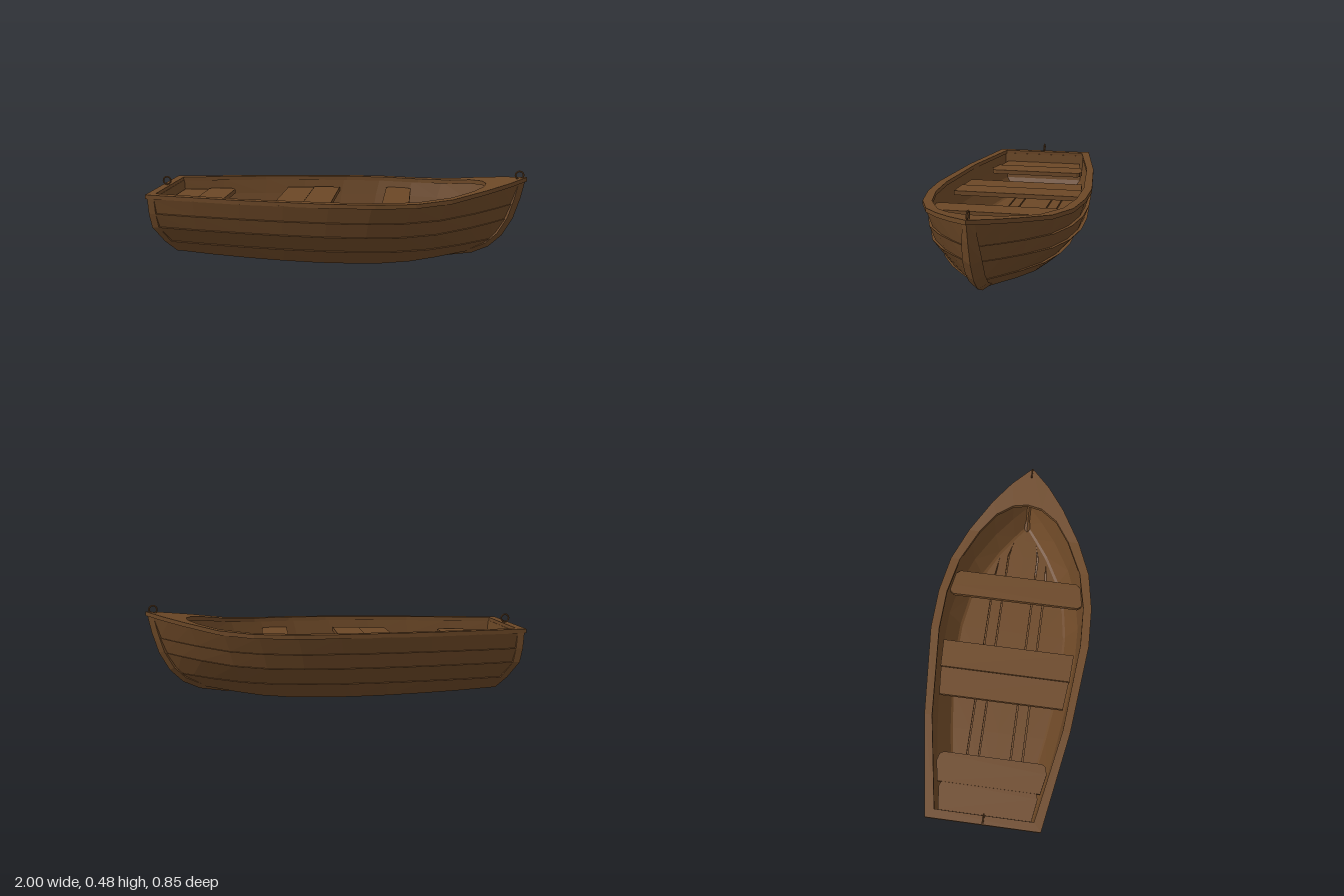
import * as THREE from 'three';

const wood = new THREE.MeshStandardMaterial({ color: 0x6b4726, flatShading: true, side: THREE.DoubleSide });

// Skin a list of cross-sections; closed sections are joined into tubes with end caps
function loft(sections, closed = false) {
  const pos = [];
  const tri = (a, b, c) => pos.push(...a, ...b, ...c);
  const n = sections[0].length;
  for (let i = 0; i < sections.length - 1; i++) {
    for (let j = 0; j < (closed ? n : n - 1); j++) {
      const k = (j + 1) % n;
      const [a, b] = [sections[i], sections[i + 1]];
      tri(a[j], b[j], b[k]);
      tri(a[j], b[k], a[k]);
    }
  }
  if (closed) {
    const last = sections[sections.length - 1];
    for (let j = 1; j < n - 1; j++) {
      tri(sections[0][0], sections[0][j], sections[0][j + 1]);
      tri(last[0], last[j + 1], last[j]);
    }
  }
  const g = new THREE.BufferGeometry();
  g.setAttribute('position', new THREE.Float32BufferAttribute(pos, 3));
  g.computeVertexNormals();
  return g;
}

// Stations from stern (0) to stem (1), with the plan taper aft and forward
const U = [0, 0.13, 0.26, 0.38, 0.5, 0.61, 0.71, 0.8, 0.89, 0.95, 1];
const AFT = [1, 0.62, 0.33, 0.12, 0];
const FORE = [1, 0.99, 0.91, 0.76, 0.51, 0.29, 0];

// Plank edges, sheer to chine: stern x, bow x, height, bow height, half width, stern ratio
const LINES = [
  [-0.985, 0.96, 0.347, 0.428, 0.42, 0.68],
  [-0.98, 0.925, 0.262, 0.305, 0.41, 0.69],
  [-0.97, 0.9, 0.187, 0.225, 0.4, 0.675],
  [-0.925, 0.835, 0.097, 0.115, 0.338, 0.62],
  [-0.88, 0.7, 0.012, 0.04, 0.25, 0.56],
];

function edge(k, i, inset = 0) {
  const [x0, x1, y0, y1, w, stern] = LINES[k];
  const u = U[i];
  const aft = i < 5 ? AFT[i] : 0;
  const plan = i < 5 ? 1 - (1 - stern) * aft : FORE[i - 4];
  const lift = Math.pow(Math.max(0, (u - 0.76) / 0.24), 1.1);
  return [
    x0 + (x1 - x0) * u,
    y0 + (y1 - y0) * lift + (k === 4 ? 0.015 * aft : 0),
    Math.max(0.03, w * plan) - inset * (1 - 0.5 * Math.pow(u, 8)),
  ];
}

// Edge of the inner lining at a station
function liningEdge(k, i) {
  const [x, y, w] = edge(k, i);
  return [x - 0.03 * U[i] + 0.01, y + (k === 4 ? 0.03 : 0), Math.max(0, w - 0.032)];
}

const rise = (x) => 0.08 * Math.max(0, (x - 0.53) / 0.47);

export function createModel() {
  const boat = new THREE.Group();
  boat.name = 'rowingBoat';

  const add = (name, geometry, x = 0, y = 0, z = 0) => {
    const m = new THREE.Mesh(geometry, wood);
    m.name = name;
    m.position.set(x, y, z);
    boat.add(m);
    return m;
  };
  const addPair = (name, geometry) => {
    add(name + 'Left', geometry);
    add(name + 'Right', geometry).scale.z = -1;
  };
  // Flat board from an outline in x and z, with its top at the given height
  const slab = (name, outline, top, thick) => {
    const shape = new THREE.Shape(outline.map(([x, z]) => new THREE.Vector2(x, z)));
    const g = new THREE.ExtrudeGeometry(shape, { depth: thick, bevelEnabled: false });
    g.rotateX(Math.PI / 2);
    add(name, g, 0, top, 0);
  };

  // Overlapping side planks, each with a ledge along its top
  for (let k = 0; k < 4; k++) {
    addPair('plank' + (k + 1), loft(U.map((_, i) => [
      edge(k, i, 0.018), edge(k, i), edge(k + 1, i, k < 3 ? 0.018 : 0),
    ])));
  }

  // Bottom planking
  addPair('bottom', loft(U.map((_, i) => {
    const [x, y, w] = edge(4, i);
    return [[x, y, w], [x, y, w * 0.88], [x, y + 0.015, w * 0.6], [x, y + 0.015, 0]];
  })));

  // Inner lining
  addPair('lining', loft(U.map((_, i) => {
    const pts = LINES.map((_, k) => liningEdge(k, i));
    const [x, y] = pts[4];
    return [...pts, [x, y, 0]];
  })));

  // Transom, standing slightly proud of the planks
  add('transom', loft(LINES.map((_, k) => {
    const [x, y, w] = edge(k, 0, -0.006);
    return [[x - 0.004, y, -w], [x - 0.004, y, w], [x + 0.032, y, w], [x + 0.032, y, -w]];
  }), true));

  // Gunwale with a solid pointed foredeck
  const outer = [[-1, 0.29], [-0.48, 0.38], [0, 0.427], [0.22, 0.42], [0.42, 0.385],
    [0.6, 0.31], [0.78, 0.2], [0.9, 0.105], [1, 0]];
  const inner = [[-0.955, 0.25], [-0.48, 0.34], [0, 0.382], [0.22, 0.375], [0.42, 0.335],
    [0.6, 0.25], [0.71, 0.17], [0.77, 0.08], [0.785, 0]];
  addPair('gunwale', loft(outer.map(([x, z], i) => {
    const [xi, zi] = inner[i];
    const [yo, yi] = [0.365 + rise(x), 0.365 + rise(xi)];
    return [[x, yo, z], [x, yo - 0.022, z], [xi, yi - 0.022, zi], [xi, yi, zi]];
  }), true));
  add('transomRail', new THREE.BoxGeometry(0.045, 0.022, 0.576), -0.9775, 0.354, 0);

  // Keel sweeping up into the stem, triangular in section and narrower at the head
  const ridge = [[-0.88, 0.004], [0.58, 0.004], [0.72, 0.022], [0.81, 0.06], [0.88, 0.125],
    [0.935, 0.22], [0.97, 0.33], [0.993, 0.435]];
  add('keelAndStem', loft(ridge.map(([x, y], i) => {
    const a = ridge[Math.max(0, i - 1)];
    const b = ridge[Math.min(ridge.length - 1, i + 1)];
    const len = Math.hypot(b[0] - a[0], b[1] - a[1]);
    const d = i < 2 ? 0.026 : 0.036;
    const bx = x - (b[1] - a[1]) / len * d;
    const by = Math.min(0.43, y + (b[0] - a[0]) / len * d);
    const w = 0.047 - 0.02 * Math.max(0, (y - 0.22) / 0.215);
    return [[x, y, 0], [bx, by, w], [bx - d, by, 0], [bx, by, -w]];
  }), true));

  // Floorboards, trimmed to the lining
  for (const [z0, z1] of [[0, 0.083], [0.09, 0.148], [0.155, 0.3]]) {
    addPair('floorboard', loft(U.map((_, i) => {
      const low = liningEdge(4, i);
      const [x, y, half] = liningEdge(3, i).map((v, n) => 0.86 * v + 0.14 * low[n]);
      const [a, b] = [Math.min(z0, half), Math.min(z1, half)];
      return [[x, y, a], [x, y, b], [x, y - 0.015, b], [x, y - 0.015, a]];
    }), true));
  }

  // Benches
  const mirrored = (half) => [...half, ...half.map(([x, z]) => [x, -z]).reverse()];
  slab('sternSeatAft', mirrored([[-0.945, 0.237], [-0.83, 0.255], [-0.803, 0.245]]), 0.295, 0.025);
  slab('sternSeatFore', mirrored([[-0.803, 0.265], [-0.7, 0.286], [-0.66, 0.276], [-0.648, 0.255]]), 0.298, 0.025);
  slab('middleBenchAft', mirrored([[-0.345, 0.33], [-0.193, 0.345]]), 0.302, 0.025);
  slab('middleBenchFore', mirrored([[-0.19, 0.348], [-0.04, 0.355]]), 0.305, 0.025);
  slab('foreBench', mirrored([[0.235, 0.345], [0.25, 0.365], [0.29, 0.371], [0.355, 0.352], [0.378, 0.325]]), 0.308, 0.025);

  // Mooring rings
  const ring = new THREE.TorusGeometry(0.021, 0.0045, 6, 16);
  add('sternRing', ring, -0.973, 0.39, 0);
  add('bowRing', ring, 0.96, 0.455, 0);

  return boat;
}
